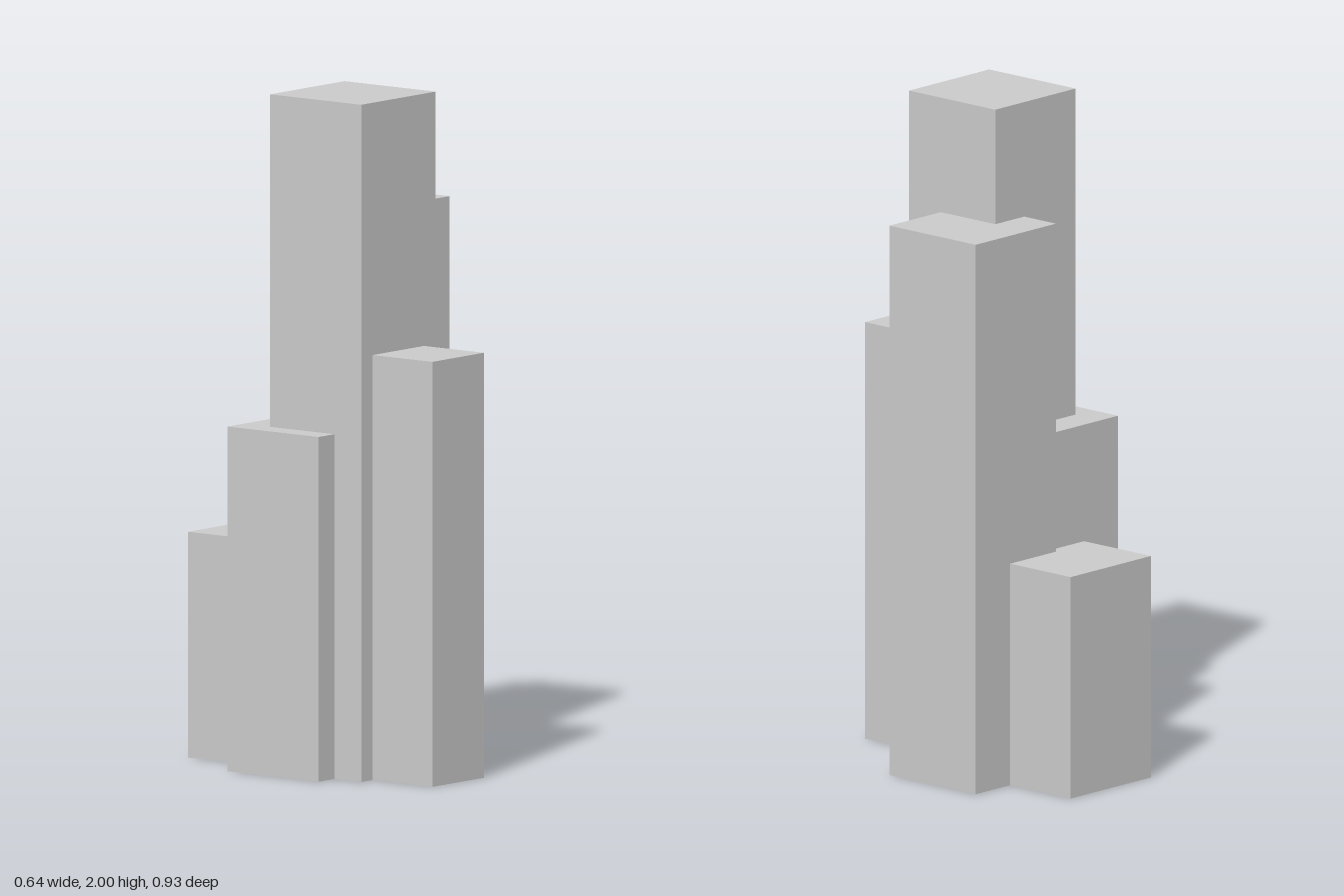
import * as THREE from 'three';

// Cluster of square towers: name, x range, z range, height
const TOWERS = [
  ['mainTower', -0.249, 0.098, -0.101, 0.241, 2.0],
  ['leftTower', -0.027, 0.32, -0.227, 0.115, 1.655],
  ['frontTower', -0.196, 0.044, 0.225, 0.465, 1.255],
  ['rightTower', -0.322, 0.025, -0.202, 0.14, 1.018],
  ['backTower', -0.176, 0.171, -0.467, -0.125, 0.667],
];

export function createModel() {
  const model = new THREE.Group();
  model.name = 'towerCluster';
  const material = new THREE.MeshStandardMaterial({ color: 0xcccccc, flatShading: true });

  for (const [name, x0, x1, z0, z1, height] of TOWERS) {
    const tower = new THREE.Mesh(new THREE.BoxGeometry(x1 - x0, height, z1 - z0), material);
    tower.position.set((x0 + x1) / 2, height / 2, (z0 + z1) / 2);
    tower.name = name;
    model.add(tower);
  }
  return model;
}
